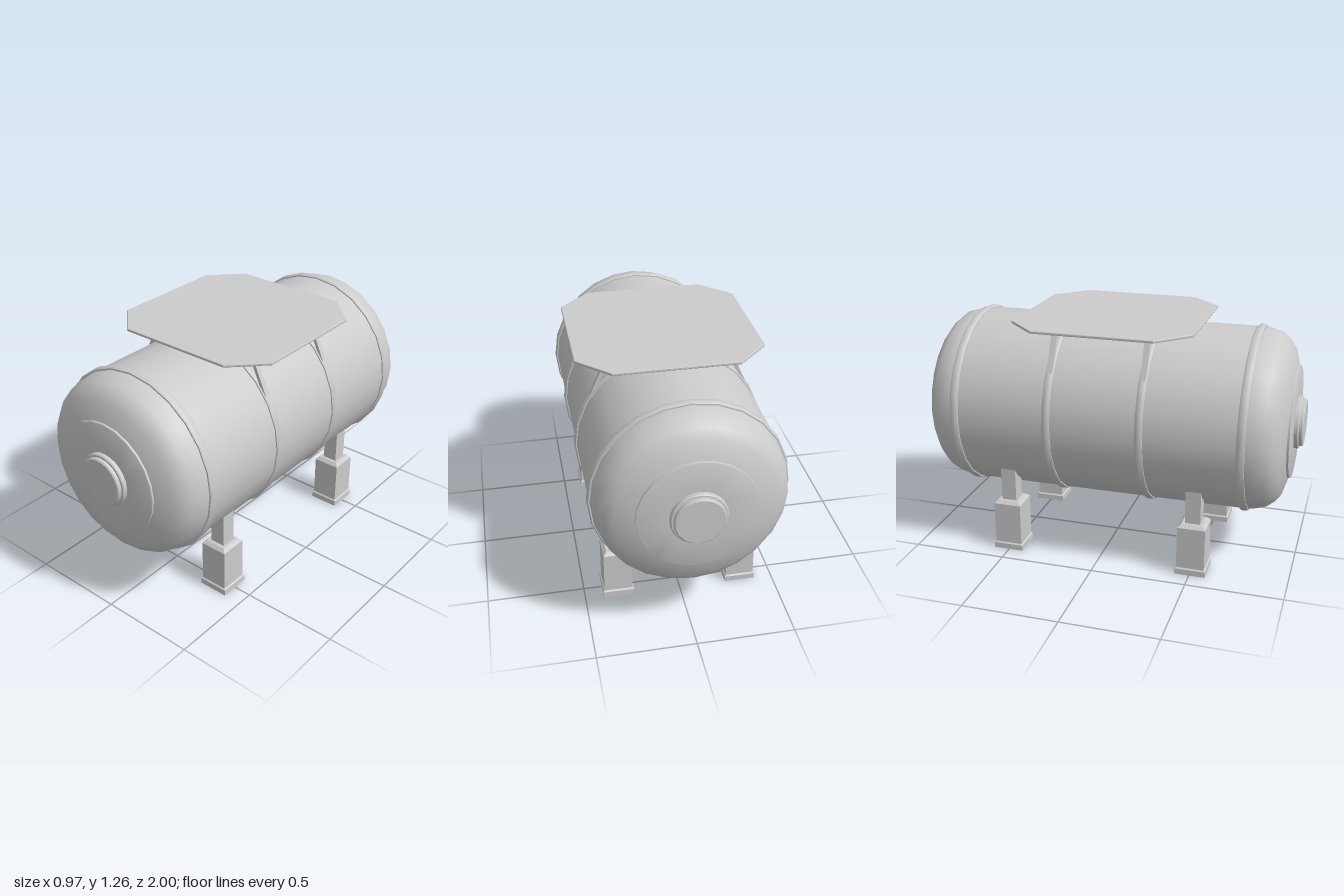
import * as THREE from 'three';
import { toCreasedNormals } from 'three/addons/utils/BufferGeometryUtils.js';

const AXIS_Y = 0.752;

export function createModel() {
  const model = new THREE.Group();
  const material = new THREE.MeshStandardMaterial({ color: 0xcccccc });

  const add = (name, geometry, x = 0, y = 0, z = 0) => {
    const mesh = new THREE.Mesh(geometry, material);
    mesh.name = name;
    mesh.position.set(x, y, z);
    model.add(mesh);
    return mesh;
  };
  const lathe = (points, sides, crease, start = 0) => toCreasedNormals(
    new THREE.LatheGeometry(points.map(([r, h]) => new THREE.Vector2(r, h)), sides, start), crease);
  // Turned parts lie along z
  const turned = (points, crease = 0.62) => lathe(points, 24, crease).rotateX(Math.PI / 2);

  // Tank body with rounded ends, raised end discs and hatch knobs
  const half = [
    [0.474, 0.75], [0.47, 0.79], [0.453, 0.85], [0.425, 0.885], [0.385, 0.915], [0.293, 0.942],
    [0.293, 0.952], [0.287, 0.955], [0.137, 0.957],
    [0.137, 0.974], [0.132, 0.979], [0.123, 0.98], [0.123, 0.995], [0.117, 1], [0, 1],
  ];
  const mirrored = half.map(([r, h]) => [r, -h]).reverse();
  add('tank', turned([...mirrored, ...half]), 0, AXIS_Y);

  // Bands around the tank
  const band = (w) => turned([
    [0.465, -w], [0.48, -w], [0.486, -w * 0.6], [0.486, w * 0.6], [0.48, w], [0.465, w],
  ], 0.9);
  for (const s of [-1, 1]) {
    add('endBand', band(0.021), 0, AXIS_Y, s * 0.743);
    add('middleBand', band(0.02), 0, AXIS_Y, s * 0.241);
  }

  // Legs: hollow foot, sleeve with a chamfered top, inner post
  const legProfile = [
    [0, 0.04], [0.05, 0.04], [0.056, 0], [0.08, 0], [0.08, 0.03], [0.073, 0.037],
    [0.073, 0.262], [0.056, 0.279], [0.04, 0.279], [0.04, 0.46], [0, 0.46],
  ].map(([w, h]) => [w * Math.SQRT2, h]);
  const leg = lathe(legProfile, 4, 0.3, Math.PI / 4);

  // Slanted struts holding the top plate
  const low = new THREE.Vector2(0.39, 1.02), high = new THREE.Vector2(0.289, 1.246);
  const dir = high.clone().sub(low);
  const mid = low.clone().add(high).multiplyScalar(0.5);
  const strut = new THREE.BoxGeometry(0.017, dir.length(), 0.028);

  for (const sx of [-1, 1]) for (const sz of [-1, 1]) {
    add('leg', leg, sx * 0.325, 0, sz * 0.503);
    add('plateStrut', strut, sx * mid.x, mid.y, sz * 0.241)
      .rotation.z = sx * Math.atan2(-dir.x, dir.y);
  }

  // Octagonal plate with a softened rim
  const a = 0.465, c = 0.308;
  const outline = new THREE.Shape(
    [[a, -c], [a, c], [c, a], [-c, a], [-a, c], [-a, -c], [-c, -a], [c, -a]]
      .map(([x, y]) => new THREE.Vector2(x, y)));
  const plate = new THREE.ExtrudeGeometry(outline, {
    depth: 0.007, bevelEnabled: true, bevelSize: 0.005, bevelThickness: 0.004, bevelSegments: 2,
  });
  add('topPlate', plate.rotateX(-Math.PI / 2), 0, 1.246);

  return model;
}
